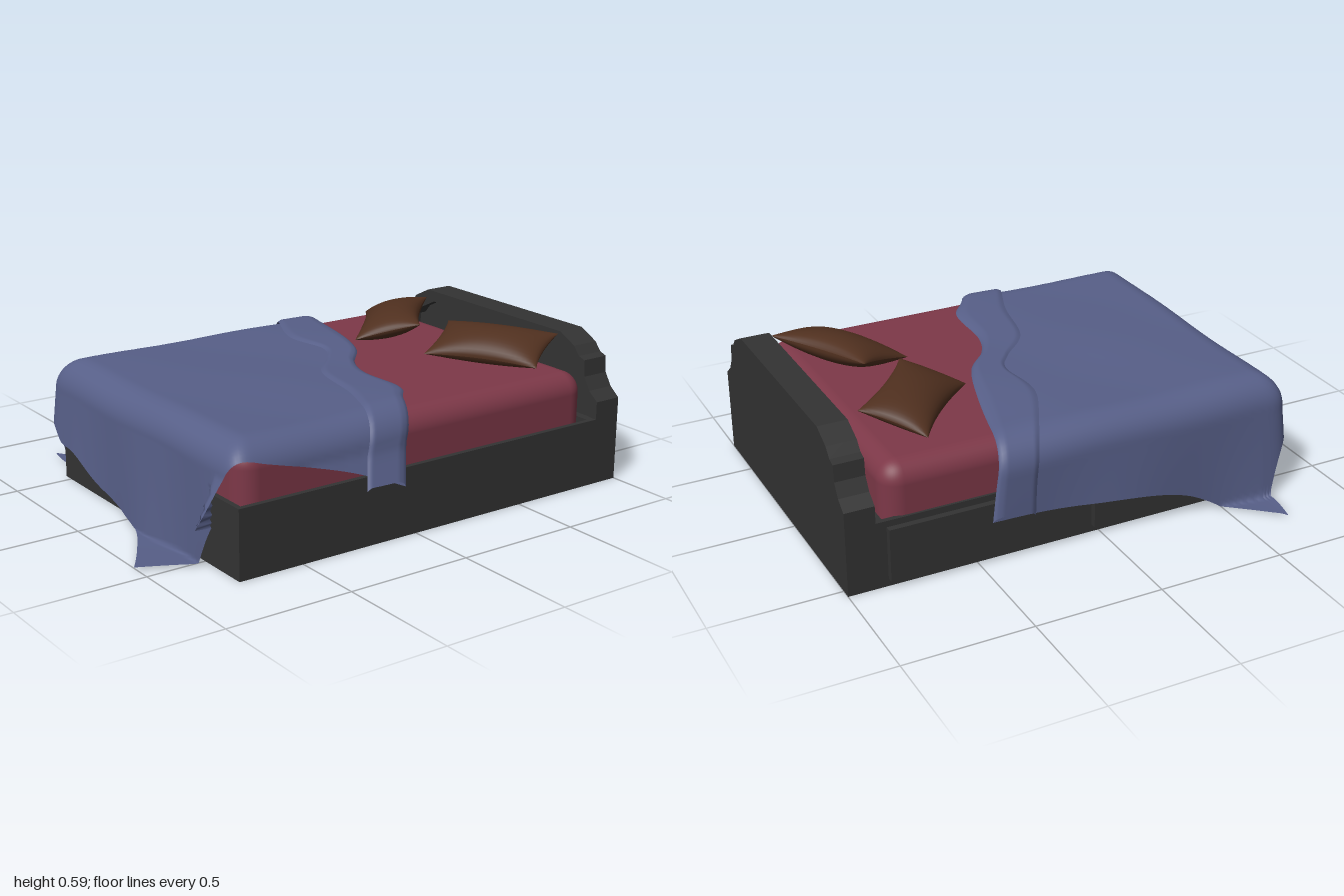
import * as THREE from 'three';
import { RoundedBoxGeometry } from 'three/addons/geometries/RoundedBoxGeometry.js';

const MID = 0.09; // the bed's own centre line

const paint = (color, side = THREE.FrontSide) => new THREE.MeshStandardMaterial({ color, side });
const frameMat = paint(0x333333);
const mattressMat = paint(0x7d3848);
const pillowMat = paint(0x50301f);
const blanketMat = paint(0x575f88, THREE.DoubleSide);

function add(parent, name, geometry, material) {
  const mesh = new THREE.Mesh(geometry, material);
  mesh.name = name;
  parent.add(mesh);
  return mesh;
}

// Box given by its lower and upper limits
function block(parent, name, [x0, y0, z0], [x1, y1, z1]) {
  const box = add(parent, name, new THREE.BoxGeometry(x1 - x0, y1 - y0, z1 - z0), frameMat);
  box.position.set((x0 + x1) / 2, (y0 + y1) / 2, (z0 + z1) / 2);
}

// Stepped headboard outline, mirrored about the centre line
function headboardOutline(inset, bottom) {
  const half = [[0.63, 0], [0.63, 0.335], [0.585, 0.37], [0.555, 0.42], [0.55, 0.485],
    [0.52, 0.495], [0.49, 0.53], [0.41, 0.57]]
    .map(([x, y]) => [x - inset * 0.9, Math.max(bottom, y - inset)]);
  const left = half.map(([x, y]) => [-x, y]).reverse();
  return [...half, ...left].map(([x, y]) => new THREE.Vector2(MID + x, y));
}

function buildHeadboard(parent) {
  const extrude = (shape, depth) =>
    new THREE.ExtrudeGeometry(shape, { depth, bevelEnabled: false });
  add(parent, 'headboardPanel', extrude(new THREE.Shape(headboardOutline(0, 0)), 0.07), frameMat)
    .position.z = -1;
  const border = new THREE.Shape(headboardOutline(0, 0));
  border.holes.push(new THREE.Path(headboardOutline(0.045, 0.2)));
  add(parent, 'headboardBorder', extrude(border, 0.045), frameMat).position.z = -0.93;
}

function buildFrame(parent) {
  block(parent, 'base', [-0.54, 0, -0.89], [0.72, 0.2, 0.765]);
  block(parent, 'leftRail', [0.7, 0.2, -0.89], [0.72, 0.265, 0.765]);
  block(parent, 'rightRail', [-0.54, 0.2, -0.89], [-0.52, 0.265, 0.765]);
  block(parent, 'footRail', [-0.52, 0.2, 0.745], [0.7, 0.265, 0.765]);
  block(parent, 'headRail', [-0.52, 0.2, -0.89], [0.7, 0.265, -0.855]);
  // Drawer fronts on one side only
  for (const [z0, z1] of [[-0.845, -0.05], [-0.03, 0.745]])
    block(parent, 'drawerFront', [-0.565, 0.03, z0], [-0.53, 0.24, z1]);
}

// Indexed surface from a grid of points
function gridSurface(cols, rows, point) {
  const pos = [], index = [];
  for (let j = 0; j <= rows; j++)
    for (let i = 0; i <= cols; i++) pos.push(...point(i / cols, j / rows));
  for (let j = 0; j < rows; j++)
    for (let i = 0; i < cols; i++) {
      const a = j * (cols + 1) + i, b = a + cols + 1;
      index.push(a, b, a + 1, b, b + 1, a + 1);
    }
  const g = new THREE.BufferGeometry();
  g.setAttribute('position', new THREE.Float32BufferAttribute(pos, 3));
  g.setIndex(index);
  g.computeVertexNormals();
  return g;
}

// Pillow: a sphere's faces squared off into a cushion with pinched corners
function buildPillow(parent, name, x, z, length, width, turn) {
  const half = (sign) => gridSurface(24, 18, (u, v) => {
    // sine spacing packs the rows near the seam
    const a = Math.sin((u - 0.5) * Math.PI) * sign, b = Math.sin((v - 0.5) * Math.PI);
    const fill = Math.max(0, (1 - a * a) * (1 - b * b));
    return [a * length / 2 * (1 - 0.07 * (1 - b * b)), sign * 0.06 * Math.pow(fill, 0.5),
      b * width / 2 * (1 - 0.14 * (1 - a * a))];
  });
  const pillow = new THREE.Group();
  pillow.name = name;
  add(pillow, 'pillowTop', half(1), pillowMat);
  add(pillow, 'pillowUnderside', half(-1), pillowMat);
  pillow.position.set(x, 0.523, z);
  pillow.rotation.set(0.27, turn, 0, 'YXZ'); // back edge propped up
  parent.add(pillow);
}

// Lays a point of the flat sheet over the bed: over the rounded edge, down, then along the floor
function drape(s, t, lift) {
  const R = 0.12 + lift, top = 0.482 + lift;
  const xMin = -0.48, xMax = 0.61, zMax = 0.67;
  const a = s > xMax ? s - xMax : Math.min(0, s - xMin), b = Math.max(0, t - zMax);
  const r = Math.pow(Math.abs(a) ** 4 + b ** 4, 0.25);
  const ripple = 0.005 * Math.sin(7 * s + 3 * t) * Math.sin(6 * t - 2 * s);
  const cx = THREE.MathUtils.clamp(s, xMin, xMax), cz = Math.min(t, zMax);
  if (r < 1e-6) return [cx, top + ripple, cz];
  const angle = Math.min(r / R, Math.PI / 2);
  const rest = Math.max(0, r - R * Math.PI / 2);
  let out = R * Math.sin(angle), y = top - R * (1 - Math.cos(angle)) + ripple;
  const hang = Math.min(rest, top - R - 0.008);
  y = Math.max(0.006 + lift, y - hang);
  const flare = a > 0 ? 0.45 : 0.07;
  out += hang * flare + (rest - hang) + 0.035 * hang * Math.sin(11 * cx + 9 * cz);
  return [cx + out * a / r, y, cz + out * b / r];
}

function buildBlanket(parent) {
  const curve = (...p) => new THREE.SplineCurve(p.map(([x, y]) => new THREE.Vector2(x, y)));
  // Edges of the sheet laid out flat; it lies askew on the bed
  const head = curve([-0.84, -0.47], [-0.6, -0.43], [-0.26, -0.35], [0, -0.26], [0.14, -0.15],
    [0.28, -0.1], [0.5, -0.09], [0.64, 0], [0.93, 0.11]);
  const foldEdge = curve([-0.86, -0.3], [-0.6, -0.27], [-0.28, -0.13], [-0.06, -0.14], [0.05, -0.08],
    [0.2, 0.05], [0.45, 0.11], [0.64, 0.18], [0.93, 0.28]);
  const foot = curve([-1.18, 0.7], [-0.85, 0.9], [-0.55, 1.04], [-0.38, 1.07], [-0.2, 1.15],
    [0, 1.19], [0.18, 1.24], [0.43, 1.42]);
  const right = curve([-0.84, -0.47], [-0.86, -0.1], [-0.94, 0.35], [-1.18, 0.7]);
  const left = curve([0.93, 0.11], [0.85, 0.32], [0.76, 0.65], [0.66, 0.95], [0.56, 1.13], [0.43, 1.42]);
  const blend = (p, q, k) => p.clone().lerp(q, k);

  // Main sheet, filled in between its four edges
  const sheet = (u, v) => {
    const p = blend(head.getPoint(u), foot.getPoint(u), v);
    p.add(blend(right.getPoint(v), left.getPoint(v), u));
    p.sub(blend(blend(head.getPoint(0), head.getPoint(1), u),
      blend(foot.getPoint(0), foot.getPoint(1), u), v));
    return drape(p.x, p.y, 0);
  };
  add(parent, 'blanketSheet', gridSurface(110, 110, sheet), blanketMat);

  // Turned-back band along the head edge, rolling up out of the sheet
  const band = (u, v) => {
    const p = blend(head.getPoint(u), foldEdge.getPoint(u), v);
    const lift = 0.016 * Math.min(1, Math.sqrt(v * 5)) * (v > 0.9 ? 1 - (v - 0.9) * 5 : 1);
    return drape(p.x, p.y, lift);
  };
  add(parent, 'blanketFold', gridSurface(110, 24, band), blanketMat);
}

export function createModel() {
  const bed = new THREE.Group();
  bed.name = 'bed';
  buildFrame(bed);
  buildHeadboard(bed);

  const mattress = add(bed, 'mattress', new RoundedBoxGeometry(1.23, 0.36, 1.59, 6, 0.08), mattressMat);
  mattress.position.set(0.085, 0.28, -0.05);

  buildPillow(bed, 'rightPillow', -0.175, -0.575, 0.45, 0.27, -0.74);
  buildPillow(bed, 'leftPillow', 0.355, -0.655, 0.46, 0.27, 0.51);
  buildBlanket(bed);
  return bed;
}
